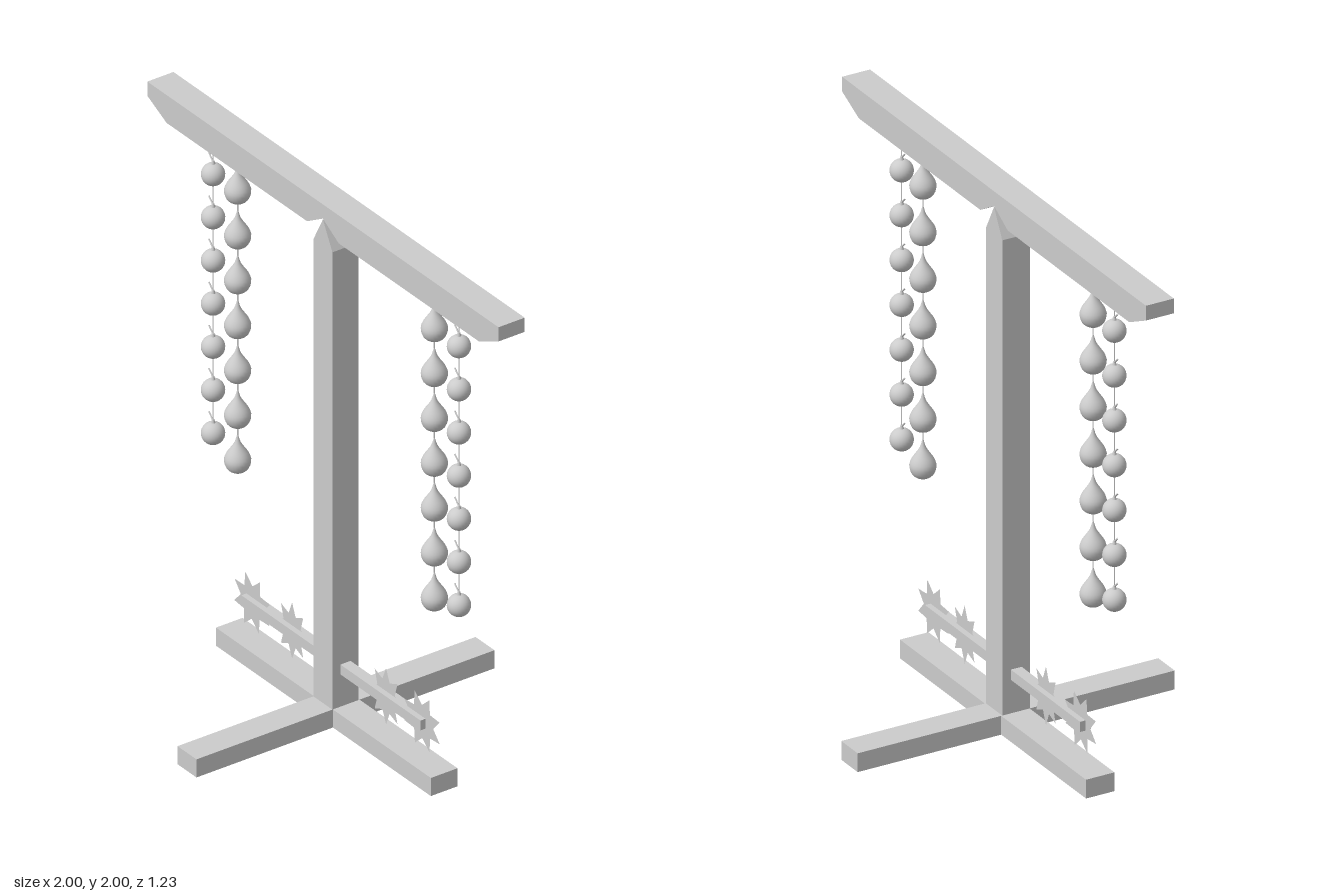
import * as THREE from 'three';

const grey = new THREE.MeshStandardMaterial({ color: 0xcccccc });
const greyThin = new THREE.MeshStandardMaterial({ color: 0xcccccc, side: THREE.DoubleSide });
const HALF = 0.054; // half thickness of the timbers

export function createModel() {
  const model = new THREE.Group();

  const add = (name, geometry, x = 0, y = 0, z = 0, parent = model, material = grey) => {
    const mesh = new THREE.Mesh(geometry, material);
    mesh.name = name;
    mesh.position.set(x, y, z);
    parent.add(mesh);
    return mesh;
  };

  // Timber cut from an outline in the xy plane
  const timber = (points) => {
    const shape = new THREE.Shape(points.map(([x, y]) => new THREE.Vector2(x, y)));
    const geometry = new THREE.ExtrudeGeometry(shape, { depth: HALF * 2, bevelEnabled: false });
    return geometry.translate(0, 0, -HALF);
  };

  // Crossed feet, pointed post and notched top beam
  add('footAcross', new THREE.BoxGeometry(1.224, 0.07, 0.11), 0, 0.035, -0.003);
  add('footFrontToBack', new THREE.BoxGeometry(0.108, 0.07, 1.228), 0, 0.035, 0);
  add('post', timber([[-HALF, 0], [HALF, 0], [HALF, 1.84], [0, 1.942], [-HALF, 1.84]]));
  add('topBeam', timber([
    [-1, 2], [-1, 1.945], [-0.89, 1.892], [-0.09, 1.892], [0, 1.945],
    [0.09, 1.892], [0.89, 1.892], [1, 1.945], [1, 2],
  ]));

  // Low rod carrying flat star plates
  add('starRod', new THREE.BoxGeometry(1.02, 0.038, 0.042), 0, 0.214, 0);
  const star = (turn) => {
    const points = [];
    for (let i = 0; i < 16; i++) {
      const r = i % 2 ? 0.064 : 0.109;
      const a = turn + (i * Math.PI) / 8;
      points.push(new THREE.Vector2(r * Math.cos(a), r * Math.sin(a)));
    }
    return new THREE.ShapeGeometry(new THREE.Shape(points));
  };
  [[-0.478, 0.36, 1], [-0.25, 0, 0.82], [0.285, 0, 0.84], [0.49, 0.4, 1]].forEach(([x, turn, squash]) => {
    add('star', star(turn), x, 0.213, 0, model, greyThin).scale.x = squash;
  });

  // Teardrop profile, origin at the centre of the bulb
  const dropProfile = new THREE.SplineCurve([
    [0, -0.046], [0.02, -0.042], [0.038, -0.027], [0.046, 0], [0.039, 0.024],
    [0.024, 0.047], [0.011, 0.068], [0.004, 0.09], [0, 0.105],
  ].map(([x, y]) => new THREE.Vector2(x, y))).getPoints(20);
  dropProfile.forEach((p) => { p.x = Math.max(p.x, 0); });
  const drop = new THREE.LatheGeometry(dropProfile, 24);
  const ball = new THREE.SphereGeometry(0.041, 24, 16);
  const cap = new THREE.CylinderGeometry(0.004, 0.009, 0.016, 10);
  const twig = new THREE.TubeGeometry(new THREE.QuadraticBezierCurve3(
    new THREE.Vector3(0.004, 0.044, 0),
    new THREE.Vector3(-0.006, 0.054, 0),
    new THREE.Vector3(-0.024, 0.072, 0),
  ), 6, 0.003, 6);

  // Hanging strands of seven ornaments on each side
  const strand = (name, x, top, bottom, ornament) => {
    const group = new THREE.Group();
    group.name = name;
    group.position.x = x;
    model.add(group);
    const length = 1.9 - bottom;
    add('string', new THREE.CylinderGeometry(0.0022, 0.0022, length, 6), 0, bottom + length / 2, 0, group);
    for (let i = 0; i < 7; i++) ornament(group, top + ((bottom - top) * i) / 6);
  };
  for (const side of [-1, 1]) {
    strand('dropStrand', side * 0.56, 1.768, 0.726, (group, y) => {
      add('drop', drop, 0, y, 0, group);
    });
    strand('ballStrand', side * 0.7, 1.766, 0.764, (group, y) => {
      add('ball', ball, 0, y, 0, group);
      add('cap', cap, 0, y + 0.045, 0, group);
      add('twig', twig, 0, y, 0, group);
    });
  }

  return model;
}
